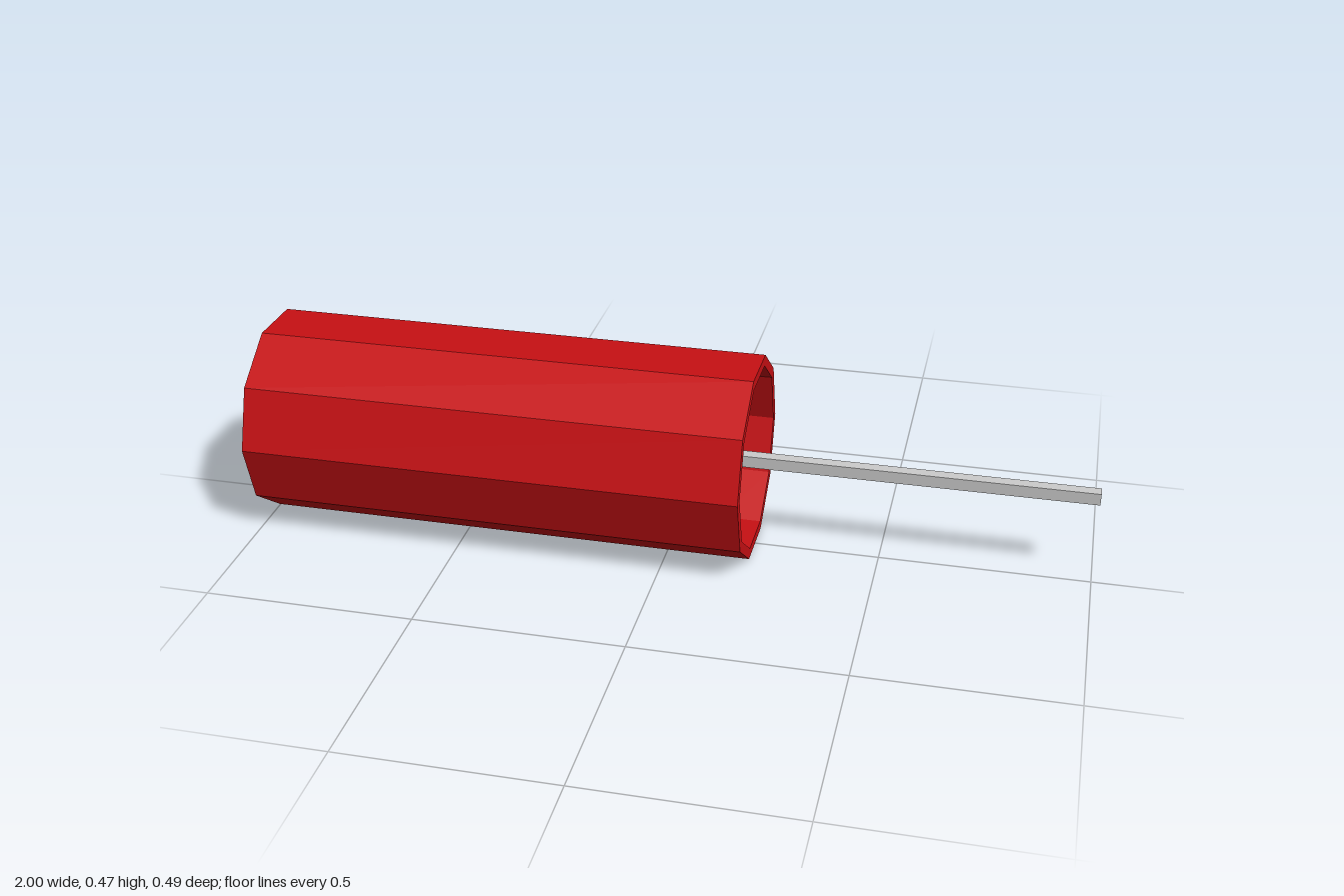
import * as THREE from 'three';

export function createModel() {
  const group = new THREE.Group();
  const red = new THREE.MeshStandardMaterial({ color: 0xc81014, flatShading: true });
  const grey = new THREE.MeshStandardMaterial({ color: 0xcccccc, flatShading: true });

  // ten-sided casing with a recessed cap at each end
  const outer = 0.246, inner = 0.22, half = 0.6, cap = 0.5;
  const profile = [
    [0, -cap], [inner, -cap], [inner, -half], [outer, -half],
    [outer, half], [inner, half], [inner, cap], [0, cap],
  ].map(([r, y]) => new THREE.Vector2(r, y));
  const casing = new THREE.Mesh(
    new THREE.LatheGeometry(profile, 10, -0.02, Math.PI * 2).rotateZ(-Math.PI / 2), red);
  casing.name = 'casing';
  casing.position.set(-0.4, 0.2355, 0);
  group.add(casing);

  // square fuse rising from the recessed cap, slightly off centre
  const fuse = new THREE.Mesh(new THREE.BoxGeometry(0.9, 0.029, 0.029), grey);
  fuse.name = 'fuse';
  fuse.position.set(0.55, 0.2215, -0.0145);
  group.add(fuse);

  return group;
}
